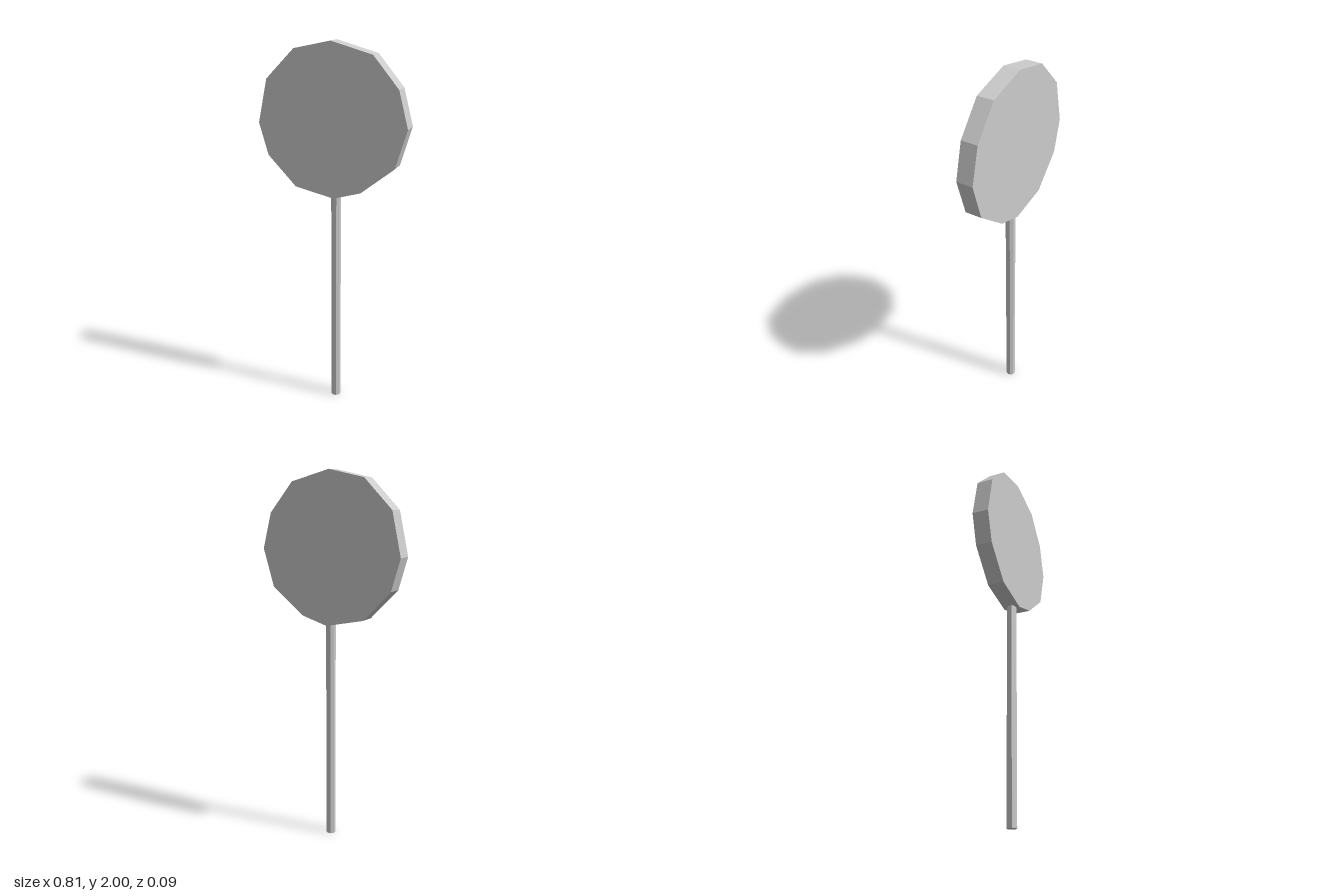
import * as THREE from 'three';

// Irregular twelve-sided outline of the disc, clockwise from the top
const OUTLINE = [
  [0, 2], [0.22, 1.94], [0.355, 1.78], [0.405, 1.59], [0.344, 1.386], [0.164, 1.242],
  [0.015, 1.197], [-0.2, 1.242], [-0.355, 1.4], [-0.405, 1.57], [-0.355, 1.8], [-0.2, 1.957],
];
const THICKNESS = 0.09;
const STICK_TOP = 1.205;

export function createModel() {
  const group = new THREE.Group();
  const material = new THREE.MeshStandardMaterial({ color: 0xcccccc, flatShading: true });

  // Flat faceted disc
  const shape = new THREE.Shape(OUTLINE.map(([x, y]) => new THREE.Vector2(x, y)));
  const discGeometry = new THREE.ExtrudeGeometry(shape, { depth: THICKNESS, bevelEnabled: false });
  discGeometry.translate(0, 0, -THICKNESS / 2);
  const disc = new THREE.Mesh(discGeometry, material);
  disc.name = 'disc';

  // Thin eight-sided stick, slightly off centre, with flats facing the axes
  const stickGeometry = new THREE.CylinderGeometry(0.026, 0.026, STICK_TOP, 8);
  stickGeometry.rotateY(Math.PI / 8);
  const stick = new THREE.Mesh(stickGeometry, material);
  stick.position.set(0.013, STICK_TOP / 2, 0);
  stick.name = 'stick';

  group.add(disc, stick);
  return group;
}
